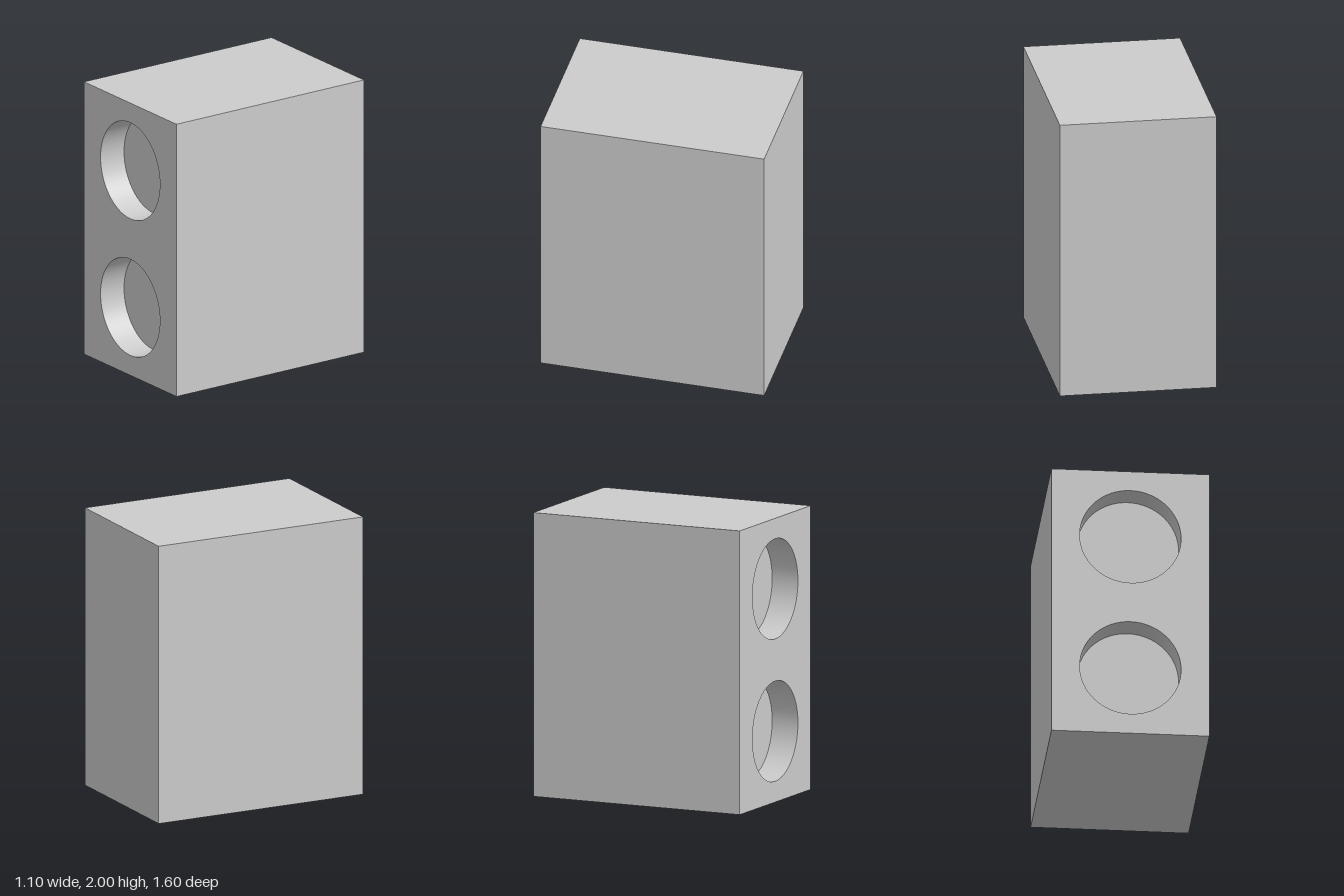
import * as THREE from 'three';

const W = 1.1, H = 2, D = 1.6;
const RADIUS = 0.353, RECESS = 0.2, SEGMENTS = 64;
const HOLE_HEIGHTS = [0.5, 1.503];

export function createModel() {
  const group = new THREE.Group();
  const grey = new THREE.MeshStandardMaterial({ color: 0xcccccc });
  const greyDouble = new THREE.MeshStandardMaterial({ color: 0xcccccc, side: THREE.DoubleSide });

  const add = (name, geometry, material, y, z) => {
    const mesh = new THREE.Mesh(geometry, material);
    mesh.name = name;
    mesh.position.set(0, y, z);
    group.add(mesh);
  };

  // Cabinet: a box without its +z face (indices 24 to 29)
  const box = new THREE.BoxGeometry(W, H, D);
  box.setIndex(Array.from(box.index.array).filter((_, i) => i < 24 || i >= 30));
  box.clearGroups();
  add('cabinet', box, grey, H / 2, 0);

  // Front panel with two round openings
  const panel = new THREE.Shape([
    new THREE.Vector2(-W / 2, 0), new THREE.Vector2(W / 2, 0),
    new THREE.Vector2(W / 2, H), new THREE.Vector2(-W / 2, H),
  ]);
  for (const y of HOLE_HEIGHTS) {
    panel.holes.push(new THREE.Path().absarc(0, y, RADIUS, 0, Math.PI * 2, true));
  }
  add('frontPanel', new THREE.ShapeGeometry(panel, SEGMENTS / 2), grey, 0, D / 2);

  // Recess behind each opening: round wall and flat floor
  HOLE_HEIGHTS.forEach((y, i) => {
    const label = i === 0 ? 'lower' : 'upper';
    const wall = new THREE.CylinderGeometry(RADIUS, RADIUS, RECESS, SEGMENTS, 1, true);
    wall.rotateX(Math.PI / 2);
    add(label + 'RecessWall', wall, greyDouble, y, D / 2 - RECESS / 2);
    add(label + 'RecessFloor', new THREE.CircleGeometry(RADIUS, SEGMENTS), grey, y, D / 2 - RECESS);
  });

  return group;
}
